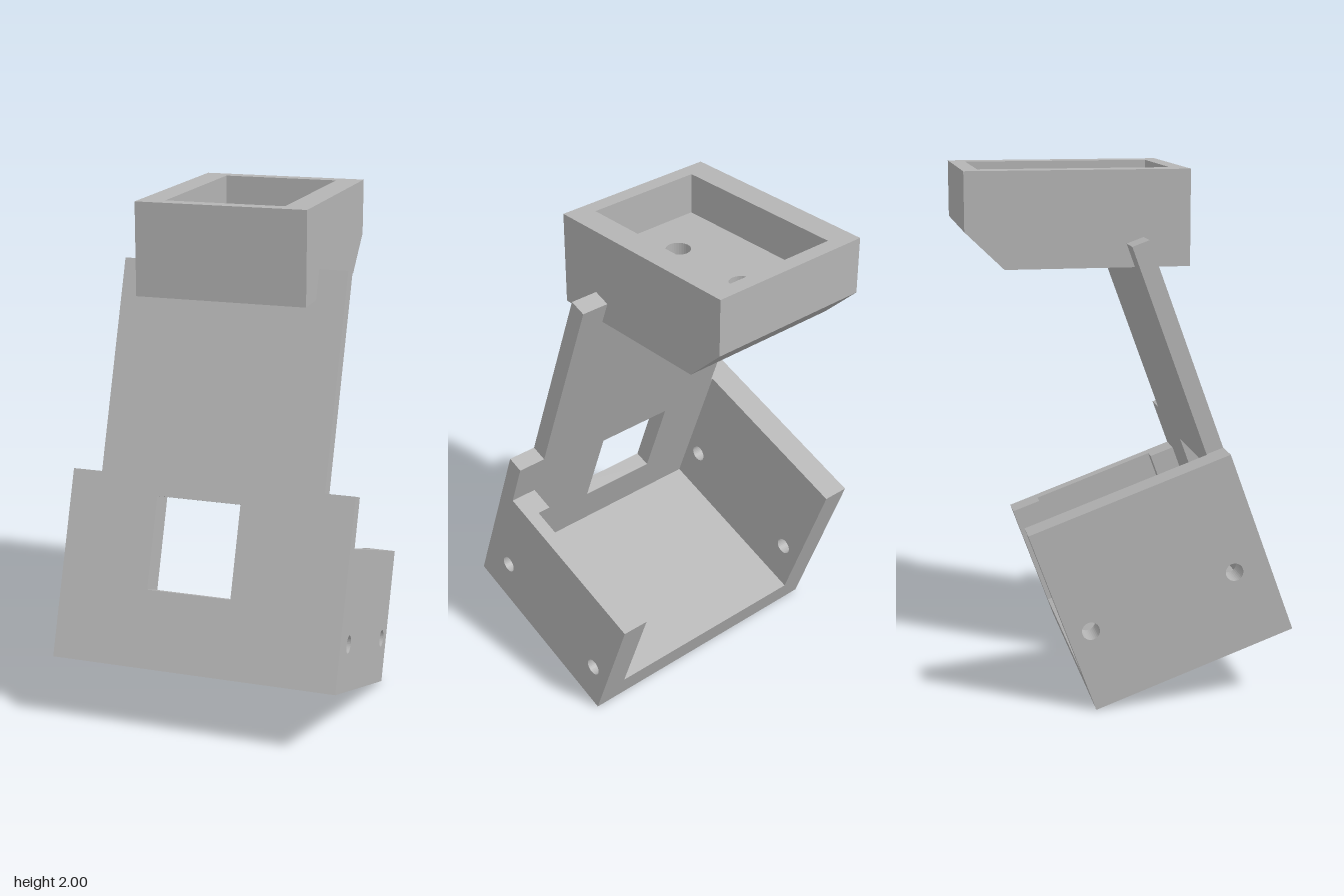
import * as THREE from 'three';

const grey = new THREE.MeshStandardMaterial({ color: 0xb4b4b4, side: THREE.DoubleSide });
grey.name = 'matte grey';

function polygon(points) {
  return new THREE.Shape(points.map(([x, y]) => new THREE.Vector2(x, y)));
}

function rect(x0, y0, x1, y1) {
  return polygon([[x0, y0], [x1, y0], [x1, y1], [x0, y1]]);
}

function drill(shape, centres, radius) {
  for (const [x, y] of centres) {
    shape.holes.push(new THREE.Path().absarc(x, y, radius, 0, Math.PI * 2, true));
  }
  return shape;
}

function extrude(shape, depth) {
  return new THREE.ExtrudeGeometry(shape, { depth, bevelEnabled: false, curveSegments: 16 });
}

function add(group, name, geometry) {
  const mesh = new THREE.Mesh(geometry, grey);
  mesh.name = name;
  group.add(mesh);
}

// Profile drawn as (distance backwards, height), extruded across x
function sidePanel(shape, x0, x1) {
  return extrude(shape, x1 - x0).rotateY(Math.PI / 2).translate(x0, 0, 0);
}

// Plan drawn as (x, distance backwards), extruded upwards
function layer(shape, y0, y1) {
  return extrude(shape, y1 - y0).rotateX(-Math.PI / 2).translate(0, y0, 0);
}

function createCradle() {
  const cradle = new THREE.Group();
  cradle.name = 'tilted cradle';
  const W = 0.565, inner = 0.455, neck = 0.447, t = 0.068;
  const depth = 0.805, tall = 0.734, low = 0.54;

  // Front plate with shoulders, narrow upper part and window
  const plate = polygon([
    [-W, 0], [W, 0], [W, tall], [neck, tall], [neck, 1.57],
    [-neck, 1.57], [-neck, tall], [-W, tall],
  ]);
  plate.holes.push(rect(-0.21, 0.3, 0.125, 0.66));
  add(cradle, 'frontPlate', extrude(plate, t).translate(0, 0, -t));

  // Floor
  add(cradle, 'floor', sidePanel(rect(t, 0, depth, 0.113), -inner, inner));

  // Tall right wall
  const screwHoles = (v) => [[0.135, v], [0.717, v]];
  add(cradle, 'rightWall',
    sidePanel(drill(rect(t, 0, depth, tall), screwHoles(0.3), 0.034), -W, -inner));

  // Low left wall, its inner half notched from the top
  add(cradle, 'leftWallOuter',
    sidePanel(drill(rect(t, 0, depth, low), screwHoles(0.181), 0.034), 0.51, W));
  const notched = polygon([
    [t, 0], [depth, 0], [depth, low], [0.686, low],
    [0.686, 0.26], [0.17, 0.26], [0.17, low], [t, low],
  ]);
  add(cradle, 'leftWallInner',
    sidePanel(drill(notched, screwHoles(0.181), 0.034), inner, 0.51));

  cradle.rotation.x = -THREE.MathUtils.degToRad(20);
  cradle.position.set(0, 0.276, 0.6);
  return cradle;
}

function createTray() {
  const tray = new THREE.Group();
  tray.name = 'top tray';
  const w = 0.335, front = -0.24, back = 0.6, chamfer = 0.455;
  const holes = [[0, 0.35], [0, 0.01]];
  const sinkTop = 1.69, r = 0.047, R = 0.084;

  // Rim around the open pocket
  const rim = rect(-w, front, w, back);
  rim.holes.push(rect(-0.234, -0.18, 0.234, 0.54));
  add(tray, 'trayRim', layer(rim, 1.84, 2));

  // Tray floor with screw holes, stepped in for the chamfer
  add(tray, 'trayFloor', layer(drill(rect(-w, front, w, back), holes, r), 1.78, 1.84));
  add(tray, 'trayBase', layer(drill(rect(-w, front, w, chamfer), holes, r), sinkTop, 1.78));
  add(tray, 'trayUnderside', layer(drill(rect(-w, front, w, chamfer), holes, R), 1.64, sinkTop));

  // Sloped rear lower edge
  add(tray, 'trayChamfer',
    sidePanel(polygon([[chamfer, 1.64], [back, 1.78], [chamfer, 1.78]]), -w, w));

  // Countersinks
  for (const [x, b] of holes) {
    add(tray, 'countersink',
      new THREE.CylinderGeometry(r, R, sinkTop - 1.64, 32, 1, true)
        .translate(x, (sinkTop + 1.64) / 2, -b));
  }
  return tray;
}

export function createModel() {
  const model = new THREE.Group();
  model.name = 'tilted wall bracket';
  model.add(createCradle(), createTray());
  return model;
}
